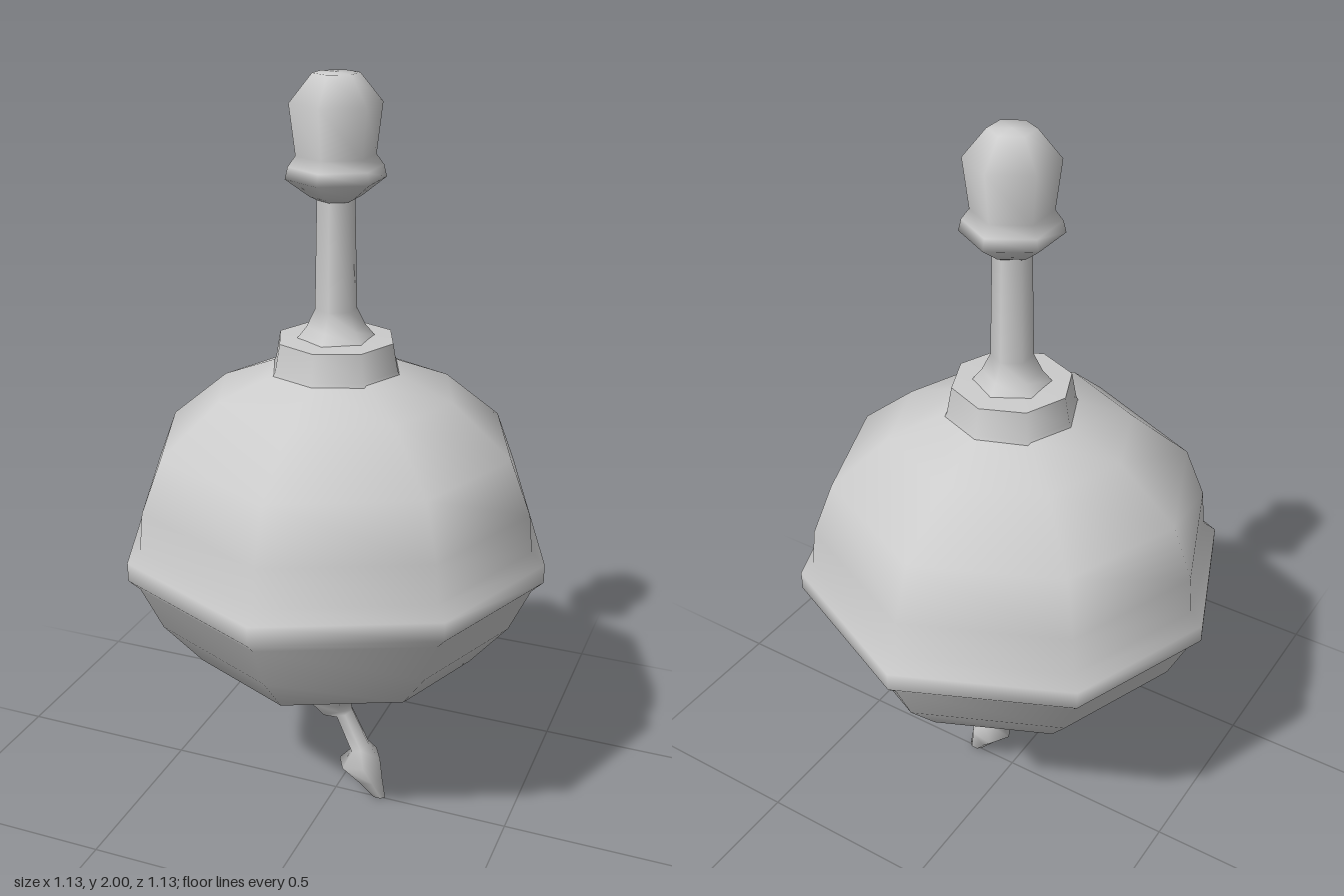
import * as THREE from 'three';

const grey = new THREE.MeshStandardMaterial({ color: 0xcccccc, side: THREE.DoubleSide });
grey.name = 'grey';

function addMesh(group, name, geometry) {
  const mesh = new THREE.Mesh(geometry, grey);
  mesh.name = name;
  group.add(mesh);
}

// Turned part from [radius, height] pairs, listed bottom to top
function turned(profile, sides) {
  return new THREE.LatheGeometry(profile.map(([r, y]) => new THREE.Vector2(r, y)), sides);
}

// Skin over elliptical rings: [centre x, centre y, half width, half depth, tilt]
function loft(rings, sides) {
  const positions = [], index = [];
  for (const [cx, cy, w, d, tilt] of rings) {
    for (let i = 0; i < sides; i++) {
      const a = (i / sides) * Math.PI * 2;
      const u = Math.cos(a) * w;
      positions.push(cx + u * Math.cos(tilt), cy + u * Math.sin(tilt), Math.sin(a) * d);
    }
  }
  for (let r = 0; r < rings.length - 1; r++) {
    for (let i = 0; i < sides; i++) {
      const a = r * sides + i, b = r * sides + (i + 1) % sides;
      index.push(a, b, a + sides, b, b + sides, a + sides);
    }
  }
  const geometry = new THREE.BufferGeometry();
  geometry.setAttribute('position', new THREE.Float32BufferAttribute(positions, 3));
  geometry.setIndex(index);
  geometry.computeVertexNormals();
  return geometry;
}

export function createModel() {
  const model = new THREE.Group();
  model.name = 'ornament';

  // Eight-sided bulb with a raised belt, diagonal corners pulled slightly sideways
  const bulb = turned([
    [0, 0.35], [0.11, 0.36], [0.24, 0.42], [0.38, 0.5], [0.48, 0.62], [0.535, 0.74],
    [0.565, 0.77], [0.565, 0.82], [0.53, 0.85], [0.52, 0.95], [0.465, 1.09],
    [0.31, 1.22], [0.16, 1.28],
  ], 8);
  const p = bulb.attributes.position;
  for (let i = 0; i < p.count; i++) {
    const x = p.getX(i), z = p.getZ(i);
    if (Math.abs(x) > 0.01 && Math.abs(z) > 0.01) p.setXYZ(i, x * 1.05, p.getY(i), z * 0.94);
  }
  addMesh(model, 'bulb', bulb);

  // Collar and its flat top
  addMesh(model, 'collar', turned([[0.18, 1.255], [0.165, 1.285], [0.152, 1.355]], 8));
  addMesh(model, 'collarTop', turned([[0.152, 1.355], [0.04, 1.36]], 8));

  // Stem and finial
  addMesh(model, 'stem', turned([[0.1, 1.355], [0.075, 1.385], [0.053, 1.43], [0.047, 1.72]], 6));
  addMesh(model, 'finial', turned([
    [0.045, 1.7], [0.065, 1.71], [0.124, 1.753], [0.117, 1.782], [0.098, 1.808],
    [0.113, 1.93], [0.057, 1.998], [0, 2],
  ], 6));

  // Bent tail below the bulb, ending in a knot and a flattened tip
  addMesh(model, 'tail', loft([
    [0.005, 0.375, 0.15, 0.1, 0],
    [-0.012, 0.305, 0.075, 0.065, 0.1],
    [0.0, 0.268, 0.05, 0.04, 0.4],
    [0.025, 0.26, 0.027, 0.03, 0.45],
    [0.073, 0.157, 0.028, 0.035, 0.4],
    [0.072, 0.117, 0.062, 0.066, 0.2],
    [0.103, 0.058, 0.038, 0.036, 0.15],
    [0.13, 0.003, 0.02, 0.012, 0],
    [0.13, 0, 0.001, 0.001, 0],
  ], 6));

  return model;
}
